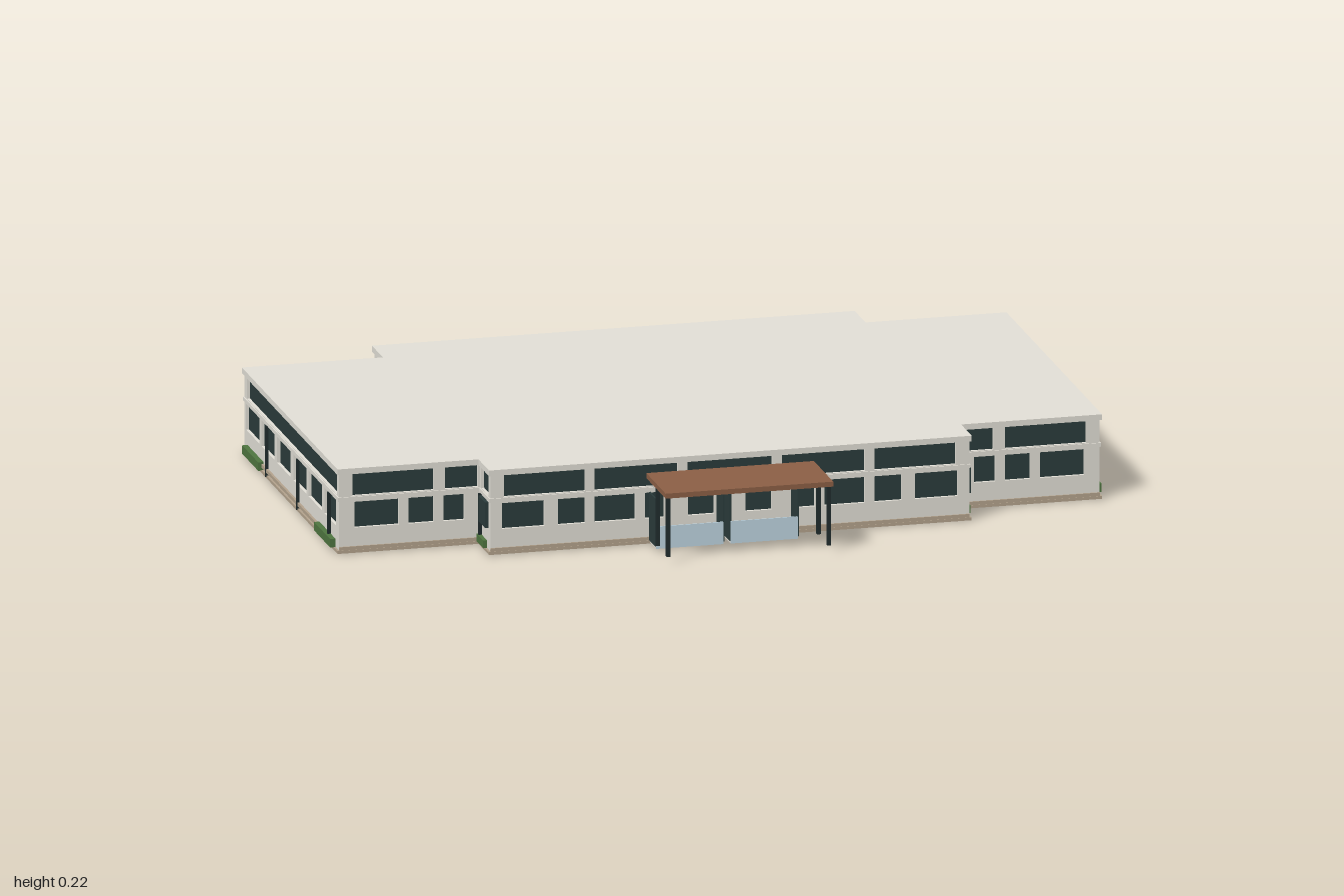
import * as THREE from 'three';

const mat = (name, color) => Object.assign(new THREE.MeshStandardMaterial({ color }), { name });

export function createModel() {
  const M = {
    wall: mat('pale stone', 0xe4e1d8),
    base: mat('foundation stone', 0xcfc5b6),
    glass: mat('dark glass', 0x2b3c3c),
    plinth: mat('plinth brown', 0xb5a48e),
    wood: mat('canopy wood', 0x8d6046),
    blue: mat('pale blue panel', 0xc0d6e2),
    green: mat('hedge green', 0x4f7640),
    metal: mat('dark metal', 0x202c2d),
  };
  const root = new THREE.Group();

  const add = (name, geo, material) => {
    const m = new THREE.Mesh(geo, material);
    m.name = name;
    root.add(m);
    return m;
  };
  // box given by its min and max along each axis
  const box = (name, material, x0, x1, y0, y1, z0, z1) => {
    const m = add(name, new THREE.BoxGeometry(x1 - x0, y1 - y0, z1 - z0), material);
    m.position.set((x0 + x1) / 2, (y0 + y1) / 2, (z0 + z1) / 2);
  };

  // cross-shaped building outline, grown by o, as a slab from y0 to y1
  const slab = (name, material, o, y0, y1) => {
    const c = 0.62 + o, w = 0.985 + o;
    const f = -0.51 - o, wf = -0.405 - o, b = 0.645 + o, wb = 0.537 + o;
    const pts = [[-c, f], [c, f], [c, wf], [w, wf], [w, wb], [c, wb],
      [c, b], [-c, b], [-c, wb], [-w, wb], [-w, wf], [-c, wf]];
    const shape = new THREE.Shape(pts.map(p => new THREE.Vector2(...p)));
    const g = new THREE.ExtrudeGeometry(shape, { depth: y1 - y0, bevelEnabled: false });
    g.rotateX(-Math.PI / 2).translate(0, y0, 0);
    add(name, g, material);
  };
  slab('foundation', M.base, -0.01, 0.0007, 0.003);
  slab('plinth', M.plinth, 0.005, 0.0015, 0.009);
  slab('glazing', M.glass, -0.008, 0.009, 0.205);
  slab('ledge', M.wall, 0.003, 0.137, 0.147);
  slab('roof', M.wall, 0.005, 0.207, 0.222);

  // planting beds showing under the foundation
  for (const s of [1, -1]) {
    const x = s * 0.405;
    box('frontBed', M.green, x - 0.085, x + 0.085, 0, 0.003, 0.29, 0.33);
    const ex = s > 0 ? 0.8 : -0.88, ez = s > 0 ? 0.29 : -0.44;
    box('endBed', M.green, ex - 0.06, ex + 0.06, 0.0003, 0.003, ez - 0.05, ez + 0.05);
  }

  // outer wall with window openings, facing along rot at distance d
  const wall = (name, rot, d, a, b, lower, upper) => {
    const s = new THREE.Shape();
    s.moveTo(a, 0.009).lineTo(b, 0.009).lineTo(b, 0.208).lineTo(a, 0.208).closePath();
    const cut = (list, y0, y1) => list.forEach(([l, r]) => {
      const h = new THREE.Path();
      h.moveTo(l, y0).lineTo(l, y1).lineTo(r, y1).lineTo(r, y0).closePath();
      s.holes.push(h);
    });
    cut(lower, 0.066, 0.133);
    cut(upper, 0.149, 0.207);
    const g = new THREE.ExtrudeGeometry(s, { depth: 0.012, bevelEnabled: false });
    g.translate(0, 0, d - 0.012);
    add(name, g, M.wall).rotation.y = rot;
  };
  const flip = list => list.map(([l, r]) => [-r, -l]);

  // front and back walls, each with a brown skirting
  const midLow = [[0.04, 0.108], [0.17, 0.22], [0.245, 0.35], [0.375, 0.445], [0.48, 0.59]];
  const midUp = [[0.135, 0.35], [0.375, 0.585]];
  const wingLow = [[0.66, 0.715], [0.74, 0.805], [0.83, 0.945]];
  const wingUp = [[0.625, 0.71], [0.74, 0.95]];
  for (const [side, s, dMid, dWing] of [['front', 1, 0.51, 0.405], ['back', -1, 0.645, 0.537]]) {
    const rot = s > 0 ? 0 : Math.PI;
    wall(side + 'Wall', rot, dMid, -0.62, 0.62,
      [...midLow, ...flip(midLow)], [...midUp, [-0.11, 0.11], ...flip(midUp)]);
    wall(side + 'WingWall', rot, dWing, 0.62, 0.985, wingLow, wingUp);
    wall(side + 'WingWall', rot, dWing, -0.985, -0.62, flip(wingLow), flip(wingUp));
    const skirting = (x0, x1, d) =>
      box(side + 'Skirting', M.plinth, x0, x1, 0.008, 0.018, s * d - 0.004, s * d + 0.004);
    skirting(-0.62, 0.62, dMid);
    skirting(0.62, 0.985, dWing);
    skirting(-0.985, -0.62, dWing);
  }

  // end walls and the short return walls
  const endLow = [[-0.375, -0.26], [-0.235, -0.1], [-0.08, 0.05], [0.08, 0.21], [0.235, 0.365], [0.385, 0.52]];
  const endUp = [[-0.383, 0.51]];
  for (const s of [1, -1]) {
    const q = list => (s > 0 ? list : flip(list));
    const side = (name, d, range, low, up) => {
      const [a, b] = q([range])[0];
      wall(name, s * Math.PI / 2, d, a, b, q(low), q(up));
    };
    side('endWall', 0.985, [-0.405, 0.537], endLow, endUp);
    side('frontReturnWall', 0.62, [-0.51, -0.405], [], [[-0.49, -0.417]]);
    side('backReturnWall', 0.62, [0.537, 0.645], [], [[0.548, 0.62]]);

    // return windows, drainpipes, hedges and steps
    const strip = (name, m, x, w, y0, y1, z0, z1) =>
      box(name, m, s * x - w / 2, s * x + w / 2, y0, y1, z0, z1);
    for (const [z0, z1] of [[0.427, 0.493], [-0.625, -0.557]])
      strip('returnWindow', M.glass, 0.625, 0.009, 0.066, 0.133, z0, z1);
    for (const z of [0.32, 0.01, -0.3])
      strip('drainpipe', M.metal, 0.989, 0.008, 0.005, 0.137, z - 0.003, z + 0.003);
    for (const z of [0.424, -0.554])
      strip('drainpipe', M.metal, 0.625, 0.008, 0.009, 0.137, z - 0.003, z + 0.003);
    for (const [z0, z1] of [[0.21, 0.37], [-0.505, -0.345]])
      strip('endHedge', M.green, 0.992, 0.014, 0.008, 0.03, z0, z1);
    for (const [z0, z1] of [[0.413, 0.48], [-0.61, -0.545]])
      strip('returnHedge', M.green, 0.626, 0.01, 0.01, 0.03, z0, z1);
    strip('endStep', M.plinth, 0.987, 0.008, 0.016, 0.025, -0.345, 0.21);
  }

  // entrance bays at front and back: low blue panels between glass fins
  for (const [side, s, z] of [['front', 1, 0.51], ['back', -1, 0.645]]) {
    const span = (name, m, x0, x1, y0, y1, a, b) =>
      box(name, m, x0, x1, y0, y1, Math.min(s * a, s * b), Math.max(s * a, s * b));
    const out = z + (s > 0 ? 0.065 : 0.06);
    for (const [x0, x1] of [[-0.208, -0.033], [-0.015, 0.16]]) {
      span(side + 'BayFloor', M.wall, x0, x1, 0.004, 0.014, z, out - 0.001);
      span(side + 'BayPanel', M.blue, x0, x1, 0.004, 0.062, out - 0.003, out);
      for (const x of [x0, x1])
        span(side + 'BayFin', M.glass, x - 0.002, x + 0.002, 0.01, 0.135, z, out - 0.001);
    }
  }

  // entrance canopy on posts
  box('canopy', M.wood, -0.217, 0.217, 0.172, 0.185, 0.512, 0.705);
  for (const x of [-0.208, 0.208])
    for (const z of [0.592, 0.695])
      box('canopyPost', M.metal, x - 0.005, x + 0.005, 0.018, 0.172, z - 0.005, z + 0.005);

  return root;
}
